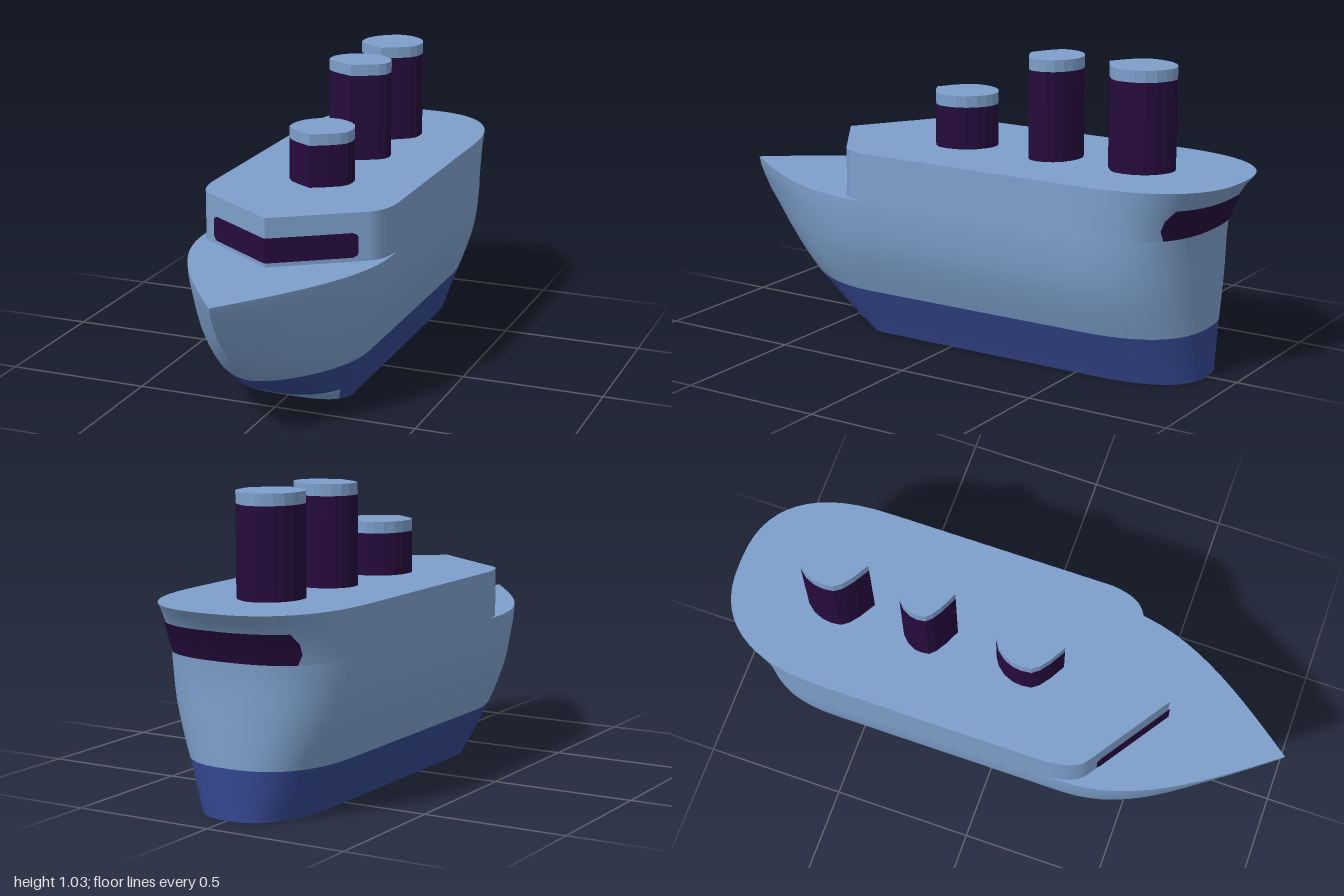
import * as THREE from 'three';

const material = (name, color) => {
  const m = new THREE.MeshStandardMaterial({ color });
  m.name = name;
  return m;
};

// Hull sections: height, half width, bow z, stern z
const HULL = [
  [0, 0.2, 0.385, -0.89], [0.025, 0.209, 0.44, -0.89], [0.055, 0.22, 0.505, -0.89],
  [0.1, 0.237, 0.585, -0.89], [0.17, 0.264, 0.705, -0.89], [0.21, 0.28, 0.76, -0.89],
  [0.25, 0.295, 0.81, -0.89], [0.3, 0.312, 0.865, -0.89], [0.35, 0.325, 0.91, -0.89],
  [0.4, 0.333, 0.947, -0.89], [0.45, 0.338, 0.975, -0.891], [0.485, 0.34, 0.992, -0.894],
  [0.515, 0.34, 1, -0.897],
];
// Cabin sections flare out to the overhanging stern
const CABIN = [
  [0.515, 0.34, 0.57, -0.897], [0.55, 0.34, 0.57, -0.91], [0.585, 0.34, 0.57, -0.928],
  [0.62, 0.34, 0.57, -0.949], [0.652, 0.34, 0.57, -0.973], [0.683, 0.34, 0.57, -1],
];
const BOW_STEPS = 14, STERN_STEPS = 14;
const vec = (x, y, z) => new THREE.Vector3(x, y, z);
const mirror = (row) => row.map((p) => vec(-p.x, p.y, p.z));

// Rounded stern quarter, from the side (angle 0) to the centre line
function sternPoint([y, w, , zs], a) {
  const start = -0.55;
  const c = Math.max(0, Math.cos(a));
  return vec(w * c ** 0.8, y, start + (zs - start) * Math.sin(a) ** 0.8);
}

function sternRow(section) {
  const row = [];
  for (let i = 0; i <= STERN_STEPS; i++) row.push(sternPoint(section, (i / STERN_STEPS) * Math.PI / 2));
  return row;
}

// Half outline of the hull: blunt near the keel, pointed at the deck
function hullRow(section) {
  const [y, w, zb] = section;
  const p = THREE.MathUtils.lerp(0.27, 1, Math.min(1, y / 0.38));
  const row = [];
  for (let i = 0; i <= BOW_STEPS; i++) {
    const t = (i / BOW_STEPS) ** (1 / p);
    row.push(vec(w * Math.sin(t * Math.PI / 2) ** p, y, zb - (zb - 0.3) * t));
  }
  return row.concat(sternRow(section));
}

// Half outline of the cabin: straight V front with a rounded corner
function cabinRow(section) {
  const y = section[0];
  const row = [vec(0, y, 0.57), vec(0.15, y, 0.469)];
  const corner = new THREE.QuadraticBezierCurve(
    new THREE.Vector2(0.29, 0.375), new THREE.Vector2(0.332, 0.345), new THREE.Vector2(0.34, 0.25));
  corner.getPoints(7).forEach((q) => row.push(vec(q.x, y, q.y)));
  return row.concat(sternRow(section));
}

// Surface through rows of points; pick(row, column) chooses the material
function grid(rows, materials, pick = () => 0) {
  const n = rows[0].length;
  const lists = materials.map(() => []);
  for (let j = 0; j < rows.length - 1; j++) {
    for (let i = 0; i < n - 1; i++) {
      const a = j * n + i, c = a + n;
      lists[pick(j, i)].push(a, a + 1, c, a + 1, c + 1, c);
    }
  }
  const g = new THREE.BufferGeometry().setFromPoints(rows.flat());
  g.setIndex(lists.flat());
  let start = 0;
  lists.forEach((l, k) => {
    g.addGroup(start, l.length, k);
    start += l.length;
  });
  g.computeVertexNormals();
  return new THREE.Mesh(g, materials);
}

export function createModel() {
  const ship = new THREE.Group();
  const paint = material('hull light blue', 0x7d9fcb);
  const navy = material('waterline blue', 0x34478f);
  const purple = material('dark purple', 0x260b3c);
  const add = (name, mesh) => {
    mesh.name = name;
    ship.add(mesh);
  };
  const addSides = (name, rows, mats, pick) => {
    add('left' + name, grid(rows, mats, pick));
    const last = rows.length - 2;
    add('right' + name, grid(rows.map(mirror).reverse(), mats, pick && ((j, i) => pick(last - j, i))));
  };

  // Hull sides with the painted lower band; the raked forefoot stays light
  const hull = HULL.map(hullRow);
  addSides('Hull', hull, [paint, navy], (j, i) => (j < 4 && !(j < 2 && i < 11) ? 1 : 0));
  add('keel', grid([mirror(hull[0]), hull[0]], [paint]));
  const deck = hull[hull.length - 1];
  add('foredeck', grid([deck, mirror(deck)], [paint]));

  // Cabin walls and roof
  const cabin = CABIN.map(cabinRow);
  addSides('Cabin', cabin, [paint]);
  const roof = cabin[cabin.length - 1];
  add('upperDeck', grid([roof, mirror(roof)], [paint]));

  // Wraparound front window
  const pane = (low) => [[0, 0], [0.245, 0], [0.256, 0.006], [0.261, 0.015]].map(([x, inset]) =>
    vec(x, low ? 0.53 + inset : 0.615 - inset, 0.576 - x * 0.672));
  addSides('FrontWindow', [pane(true), pane(false)], [purple]);

  // Stern window following the flared hull
  const sternPane = CABIN.slice(0, 4).map((s, j) => {
    const edge = j === 0 || j === 3 ? 0.235 : 0.25;
    const a0 = Math.acos((edge / s[1]) ** 1.25);
    const row = [];
    for (let i = 0; i <= 24; i++) {
      const p = sternPoint(s, a0 + (i / 24) * (Math.PI / 2 - a0));
      row.push(vec(p.x * 1.015, p.y, p.z - 0.006));
    }
    return row;
  });
  addSides('SternWindow', sternPane, [purple]);

  // Funnels: pointed at the front, rounded at the back, with light caps
  const half = [[0, 0], [0.055, 0.13], [0.09, 0.24], [0.108, 0.34], [0.112, 0.48],
    [0.108, 0.62], [0.094, 0.76], [0.07, 0.88], [0.04, 0.96], [0.015, 1]];
  const funnel = (name, front, back, top) => {
    const outline = half.concat(half.slice(1).reverse().map(([x, v]) => [-x, v]));
    const shape = new THREE.Shape(outline.map(([x, v]) =>
      new THREE.Vector2(x, -(front + (back - front) * v))));
    const group = new THREE.Group();
    const part = (partName, y0, y1, mat) => {
      const g = new THREE.ExtrudeGeometry(shape, { depth: y1 - y0, bevelEnabled: false });
      g.rotateX(-Math.PI / 2).translate(0, y0, 0);
      const mesh = new THREE.Mesh(g, mat);
      mesh.name = partName;
      group.add(mesh);
    };
    part('funnelBody', 0.68, top - 0.04, purple);
    part('funnelCap', top - 0.04, top, paint);
    add(name, group);
  };
  funnel('frontFunnel', 0.19, -0.05, 0.87);
  funnel('middleFunnel', -0.195, -0.39, 1.03);
  funnel('rearFunnel', -0.5, -0.745, 1.03);

  return ship;
}
